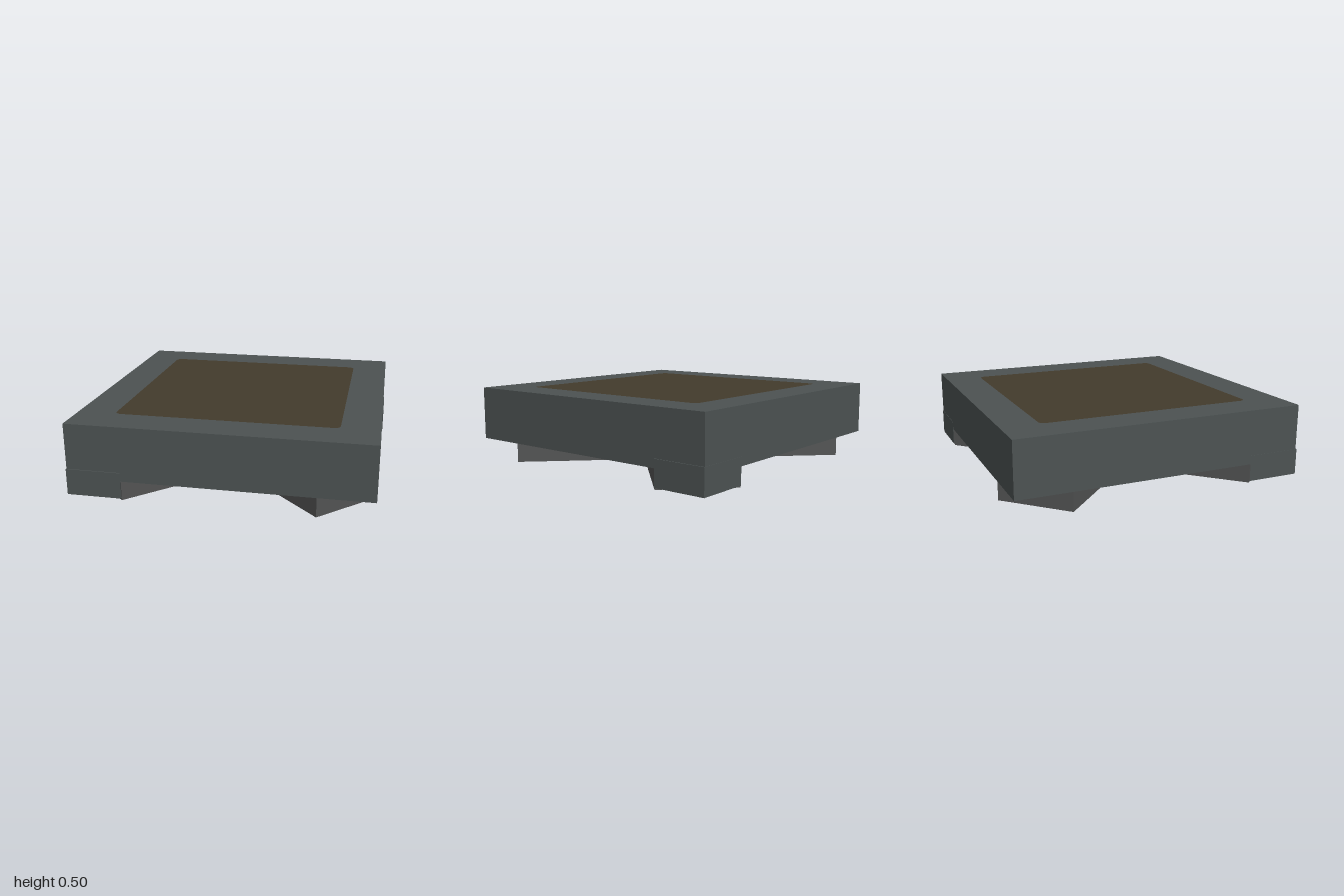
import * as THREE from 'three';

const stone = new THREE.MeshStandardMaterial({ color: 0x4c5252 });
stone.name = 'slate grey';
const soil = new THREE.MeshStandardMaterial({ color: 0x433b2c });
soil.name = 'dark brown';
const metal = new THREE.MeshStandardMaterial({ color: 0x525353 });
metal.name = 'neutral grey';

// Upright prism from a plan outline (x, z) between two heights
function prism(name, shape, y0, y1, material) {
  const geo = new THREE.ExtrudeGeometry(shape, { depth: y1 - y0, bevelEnabled: false, curveSegments: 4 });
  geo.rotateX(-Math.PI / 2).translate(0, y0, 0);
  const mesh = new THREE.Mesh(geo, material);
  mesh.name = name;
  return mesh;
}

const outline = (points) => new THREE.Shape(points.map(([x, z]) => new THREE.Vector2(x, -z)));

// Rounded square in plan
function roundedSquare(half, r, Type) {
  const s = new Type();
  const a = half - r;
  s.absarc(a, a, r, 0, Math.PI / 2);
  s.absarc(-a, a, r, Math.PI / 2, Math.PI);
  s.absarc(-a, -a, r, Math.PI, Math.PI * 1.5);
  s.absarc(a, -a, r, Math.PI * 1.5, Math.PI * 2);
  s.closePath();
  return s;
}

export function createModel() {
  const model = new THREE.Group();
  model.name = 'floorTile';

  // Square slab: border frame with a flush inner panel
  const slab = new THREE.Group();
  slab.name = 'slab';
  const h = 0.995;
  const frame = outline([[-h, -h], [-h, h], [h, h], [h, -h]]);
  frame.holes.push(roundedSquare(0.742, 0.04, THREE.Path));
  slab.add(prism('borderFrame', frame, 0.13, 0.5, stone));
  slab.add(prism('innerPanel', roundedSquare(0.742, 0.04, THREE.Shape), 0.13, 0.5, soil));
  slab.position.set(-0.0025, 0, -0.0025);
  model.add(slab);

  // Diagonal cross of beams under the slab
  const w = 0.258, l = 1.148;
  const plus = [[l, -w], [l, w], [w, w], [w, l], [-w, l], [-w, w],
    [-l, w], [-l, -w], [-w, -w], [-w, -l], [w, -l], [w, -w]];
  const cross = prism('crossBeams', outline(plus), 0, 0.13, metal);
  cross.rotation.y = Math.PI / 4;
  model.add(cross);

  // Pointed corner feet on one diagonal
  for (const s of [-1, 1]) {
    const tri = [[s, -s], [s, -0.63 * s], [0.63 * s, -s]];
    model.add(prism(s < 0 ? 'frontCornerFoot' : 'backCornerFoot', outline(tri), 0.013, 0.19, stone));
  }
  return model;
}
